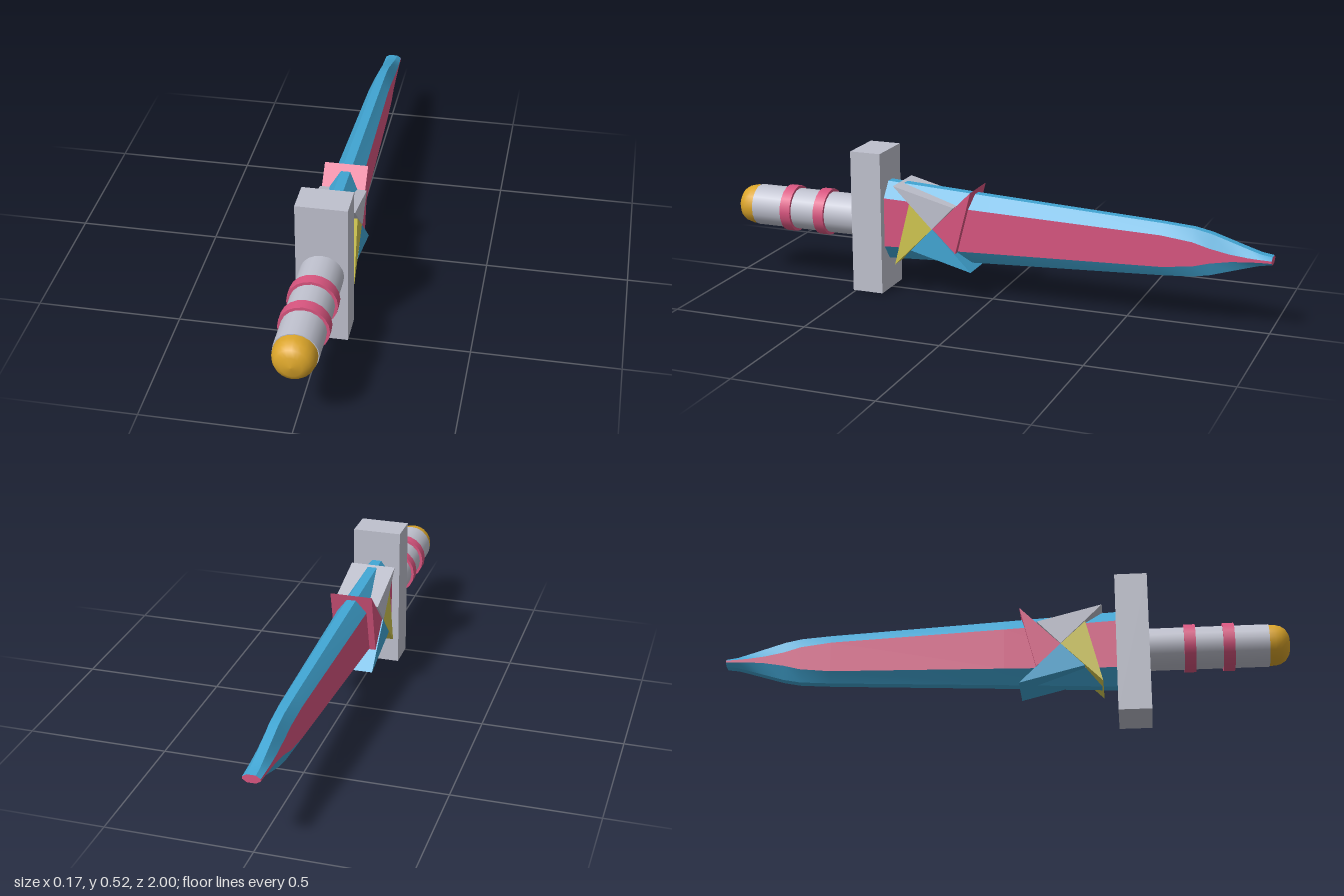
import * as THREE from 'three';

const mat = (name, color) => {
  const m = new THREE.MeshStandardMaterial({ color });
  m.name = name;
  return m;
};

export function createModel() {
  const grey = mat('silver grey', 0xbfc1ce);
  const pink = mat('rose pink', 0xd8557f);
  const blue = mat('sky blue', 0x41a6d4);
  const gold = mat('gold', 0xdba52a);
  const yellow = mat('pale yellow', 0xd0c650);
  const model = new THREE.Group();
  model.name = 'dagger';
  const axisY = 0.261;

  const add = (name, geometry, material, y = axisY, z = 0) => {
    const mesh = new THREE.Mesh(geometry, material);
    mesh.name = name;
    mesh.position.set(0, y, z);
    model.add(mesh);
    return mesh;
  };
  const rod = (r, length) => new THREE.CylinderGeometry(r, r, length, 20).rotateX(Math.PI / 2);

  // Guard, grip and grip rings
  add('guard', new THREE.BoxGeometry(0.175, 0.52, 0.115), grey, 0.26, 0.4525);
  add('grip', rod(0.075, 0.42), grey, axisY, 0.715);
  for (const z of [0.65, 0.785]) add('gripRing', rod(0.085, 0.04), pink, axisY, z);

  // Rounded pommel
  const pommel = [[0.072, 0.92], [0.072, 0.945], [0.067, 0.965], [0.056, 0.982], [0.035, 0.995], [0, 1]]
    .map(([r, z]) => new THREE.Vector2(r, z));
  add('pommel', new THREE.LatheGeometry(pommel, 20).rotateX(Math.PI / 2), gold);

  // Blade stations: z, half thickness, flat half height, edge half thickness, half height
  const stations = [
    [0.4, 0.06, 0.09, 0.017, 0.145],
    [0, 0.051, 0.076, 0.016, 0.124],
    [-0.62, 0.038, 0.056, 0.015, 0.093],
    [-0.73, 0.036, 0.043, 0.015, 0.085],
    [-0.79, 0.034, 0.026, 0.015, 0.073],
    [-0.86, 0.033, 0.013, 0.015, 0.051],
    [-0.92, 0.032, 0.007, 0.015, 0.032],
    [-0.96, 0.031, 0.005, 0.015, 0.02],
    [-1, 0.03, 0.004, 0.015, 0.014],
  ];
  const section = ([z, w, p, t, h]) => [
    [w, -p, z], [w, p, z], [t, h, z], [-t, h, z], [-w, p, z], [-w, -p, z], [-t, -h, z], [t, -h, z],
  ];
  const rings = stations.map(section);
  // One lengthwise strip per side of the section keeps the ridges sharp
  const bladeStrips = (sides) => {
    const position = [], index = [];
    for (const k of sides) {
      const base = position.length / 3;
      rings.forEach((ring, i) => {
        position.push(...ring[k], ...ring[(k + 1) % 8]);
        if (i === 0) return;
        const a = base + 2 * (i - 1);
        index.push(a, a + 2, a + 1, a + 1, a + 2, a + 3);
      });
    }
    const g = new THREE.BufferGeometry();
    g.setAttribute('position', new THREE.Float32BufferAttribute(position, 3));
    g.setIndex(index);
    g.computeVertexNormals();
    return g;
  };
  add('bladeFlats', bladeStrips([0, 4]), pink);
  add('bladeEdges', bladeStrips([1, 2, 3, 5, 6, 7]), blue);

  // Cap closing the blade tip
  const tip = new THREE.Shape(rings[rings.length - 1].map(([x, y]) => new THREE.Vector2(x, y)));
  add('bladeTip', new THREE.ShapeGeometry(tip).rotateY(Math.PI), pink, axisY, -1);

  // Pinwheel of four wedges around the blade
  const wedge = new THREE.Shape([[0, 0], [0.083, 0.087], [-0.147, 0.145]].map(([u, v]) => new THREE.Vector2(u, v)));
  [[grey, 0.082], [pink, 0.076], [blue, 0.08], [yellow, 0.08]].forEach(([material, half], i) => {
    const g = new THREE.ExtrudeGeometry(wedge, { depth: half * 2, bevelEnabled: false })
      .translate(0, 0, -half)
      .rotateZ(-i * Math.PI / 2)
      .rotateY(Math.PI / 2);
    add('pinwheelWedge', g, material, axisY, 0.201);
  });

  return model;
}
